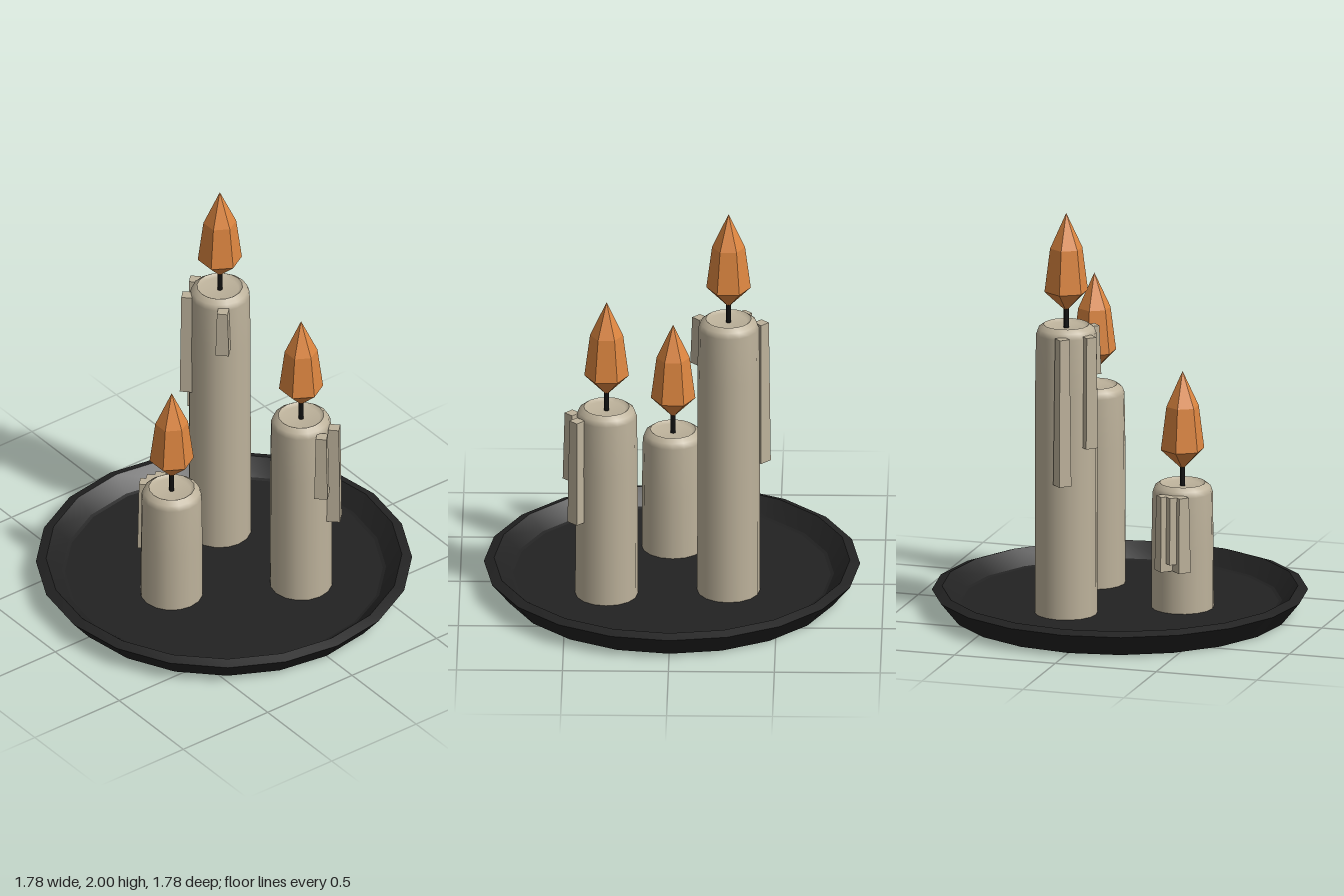
import * as THREE from 'three';
import { toCreasedNormals } from 'three/addons/utils/BufferGeometryUtils.js';

function material(name, color) {
  const m = new THREE.MeshStandardMaterial({ color });
  m.name = name;
  return m;
}

// Turned shape from [radius, height] pairs, listed bottom to top on the outside
function lathe(points, sides) {
  return new THREE.LatheGeometry(points.map(([r, y]) => new THREE.Vector2(r, y)), sides);
}

function faceted(geometry) {
  const g = geometry.toNonIndexed();
  g.computeVertexNormals();
  return g;
}

function add(parent, name, geometry, mat, x = 0, y = 0, z = 0) {
  const mesh = new THREE.Mesh(geometry, mat);
  mesh.name = name;
  mesh.position.set(x, y, z);
  parent.add(mesh);
  return mesh;
}

const FLOOR = 0.05;

// Each drip is [x offset, z offset, bottom height]
const CANDLES = [
  { name: 'tallCandle', x: -0.27, z: -0.18, top: 1.458,
    drips: [[-0.154, 0.03, 0.71], [-0.073, 0.137, 0.885], [0.137, 0.085, 1.19]] },
  { name: 'mediumCandle', x: 0.305, z: -0.225, top: 1.017,
    drips: [[0.138, -0.092, 0.46], [0.162, 0, 0.643]] },
  { name: 'shortCandle', x: 0, z: 0.31, top: 0.657,
    drips: [[-0.15, -0.046, 0.26], [-0.156, 0, 0.3], [-0.15, 0.044, 0.26]] },
];

export function createModel() {
  const wax = material('wax', 0xbdb29b);
  const fire = material('flame', 0xdd8640);
  const black = material('wick black', 0x111111);
  const iron = material('dark iron', 0x222222);

  const model = new THREE.Group();
  model.name = 'candlePlate';

  // Shallow plate with a bevelled lip
  add(model, 'plate', toCreasedNormals(lathe([
    [0, 0], [0.8, 0], [0.888, 0.108], [0.84, 0.125], [0.765, FLOOR + 0.005], [0.75, FLOOR], [0, FLOOR],
  ], 20), 0.25), iron);

  // Six-sided flame, measured from its lower tip
  const flameGeometry = faceted(lathe([[0, 0], [0.105, 0.1], [0.078, 0.31], [0, 0.48]], 6).rotateY(Math.PI / 2));
  const wickGeometry = new THREE.CylinderGeometry(0.013, 0.013, 0.12, 6);

  for (const c of CANDLES) {
    const candle = new THREE.Group();
    candle.name = c.name;
    candle.position.set(c.x, 0, c.z);
    model.add(candle);

    // Body with rounded shoulder, and the slightly sunken top
    add(candle, 'waxBody', lathe([
      [0.148, FLOOR], [0.147, c.top - 0.3], [0.143, c.top - 0.045], [0.133, c.top - 0.018], [0.108, c.top],
    ], 16), wax);
    add(candle, 'waxTop', lathe([[0.108, c.top], [0.09, c.top - 0.015], [0, c.top - 0.018]], 16), wax);

    add(candle, 'wick', wickGeometry, black, 0, c.top + 0.03, 0);
    add(candle, 'flame', flameGeometry, fire, 0, c.top + 0.062, 0);

    // Four-sided runs of wax, wider at the bottom
    for (const [x, z, bottom] of c.drips) {
      const top = c.top - 0.033;
      const geometry = faceted(new THREE.CylinderGeometry(0.036, 0.045, top - bottom, 4));
      add(candle, 'waxDrip', geometry, wax, x, (top + bottom) / 2, z);
    }
  }
  return model;
}
